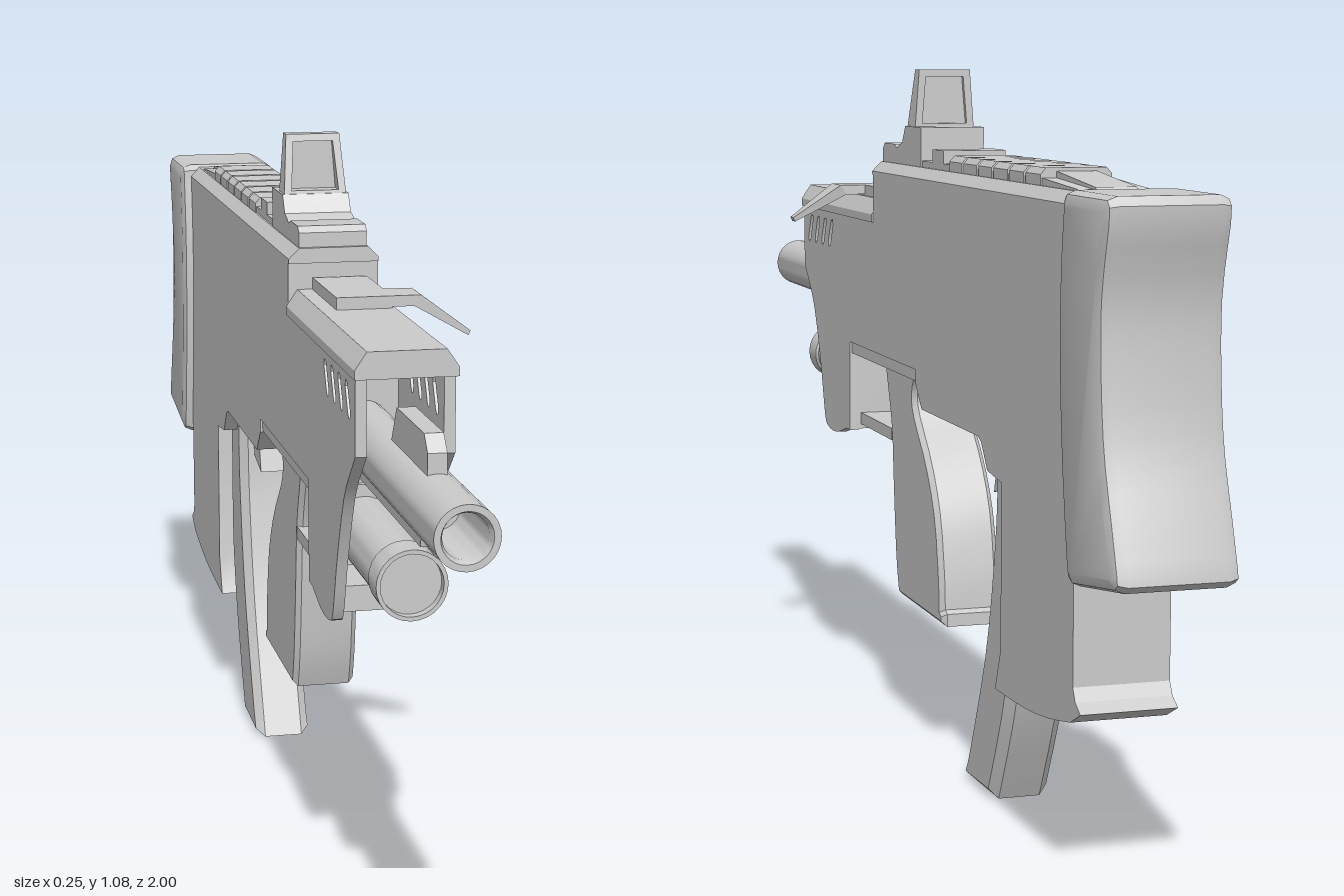
import * as THREE from 'three';
import { toCreasedNormals } from 'three/addons/utils/BufferGeometryUtils.js';

const CX = -0.043; // centre plane of the model
const mat = new THREE.MeshStandardMaterial({ color: 0xcccccc, side: THREE.DoubleSide });

export function createModel() {
  const group = new THREE.Group();

  const add = (name, geo, x = CX, y = 0, z = 0) => {
    const mesh = new THREE.Mesh(geo, mat);
    mesh.name = name;
    mesh.position.set(x, y, z);
    group.add(mesh);
    return mesh;
  };
  const toShape = (pts) => new THREE.Shape(pts.map(([a, b]) => new THREE.Vector2(a, b)));

  // Side profile in (z, y), given full width along x, optional chamfered rim
  const side = (name, pts, width, { bevel = 0, holes = [], x = CX, segs = 1 } = {}) => {
    const shape = toShape(pts);
    shape.holes = holes.map(toShape);
    const depth = width - 2 * bevel;
    const geo = new THREE.ExtrudeGeometry(shape, {
      depth, bevelEnabled: bevel > 0, bevelSize: bevel, bevelThickness: bevel,
      bevelOffset: -bevel, bevelSegments: segs, curveSegments: 8,
    });
    geo.translate(0, 0, -depth / 2);
    geo.rotateY(-Math.PI / 2);
    return add(name, toCreasedNormals(geo, 0.5), x);
  };
  // Front profile in (x, y) running from z0 to z1
  const along = (name, pts, z0, z1, x = CX) =>
    add(name, new THREE.ExtrudeGeometry(toShape(pts), { depth: z1 - z0, bevelEnabled: false }), x, 0, z0);
  const box = (name, w, y0, y1, z0, z1, x = CX) =>
    add(name, new THREE.BoxGeometry(w, y1 - y0, z1 - z0), x, (y0 + y1) / 2, (z0 + z1) / 2);
  // Turned part along z from (radius, z) points
  const turned = (name, pts, y) => {
    const geo = new THREE.LatheGeometry(pts.map(([r, z]) => new THREE.Vector2(r, z)), 28);
    geo.rotateX(Math.PI / 2);
    return add(name, toCreasedNormals(geo, 0.5), CX, y);
  };
  // Smooth run of points through a few guides
  const smooth = (pts, n = 12) =>
    new THREE.SplineCurve(pts.map(([a, b]) => new THREE.Vector2(a, b))).getPoints(n).map((p) => [p.x, p.y]);

  // Receiver with the rear lower housing
  side('receiver', [
    [0.4, 0.84], [0.19, 0.84], [0.19, 0.915], [-0.8, 0.915], [-0.8, 0.28], [-0.81, 0.262], [-0.83, 0.25],
    ...smooth([[-0.79, 0.23], [-0.7, 0.213], [-0.6, 0.202], [-0.47, 0.198]], 6),
    [-0.495, 0.26], [-0.495, 0.505], [-0.43, 0.512], [-0.4, 0.55], [-0.385, 0.556],
    [-0.094, 0.556], [-0.06, 0.593], [-0.06, 0.615], [0.4, 0.615],
  ], 0.138);

  // Hollow handguard: a slotted plate on each side
  const slots = [0, 1, 2, 3].map((i) => {
    const z = 0.622 - i * 0.048;
    return [[z + 0.012, 0.772], [z + 0.012, 0.783], [z - 0.006, 0.817], [z - 0.016, 0.82],
      [z - 0.019, 0.81], [z - 0.001, 0.775], [z + 0.006, 0.769]];
  });
  for (const s of [-1, 1]) {
    side(s > 0 ? 'leftHandguardPlate' : 'rightHandguardPlate', [
      [0.4, 0.84], [0.668, 0.84], [0.668, 0.725],
      ...smooth([[0.62, 0.68], [0.59, 0.64], [0.55, 0.55], [0.522, 0.465], [0.5, 0.446], [0.44, 0.443], [0.37, 0.46]], 14),
      [0.345, 0.46], [0.345, 0.615], [0.4, 0.615],
    ], 0.016, { holes: slots, x: CX + s * 0.061 });
  }
  box('handguardFloor', 0.108, 0.462, 0.5, 0.345, 0.515);
  box('handguardBulkhead', 0.108, 0.48, 0.62, 0.345, 0.41);

  // Chamfered top covers
  const cover = (w, n, y0, y1, y2) => [[-w, y0], [w, y0], [w, y1], [n, y2], [-n, y2], [-w, y1]];
  along('handguardCover', cover(0.072, 0.055, 0.832, 0.845, 0.87), 0.19, 0.676);
  along('receiverCover', cover(0.069, 0.053, 0.91, 0.917, 0.933), -0.8, 0.195);
  box('coverPlate', 0.083, 0.865, 0.888, 0.195, 0.37, -0.034);

  // Charging handle swept out to the left
  const handle = [[-0.075, 0.872], [-0.075, 0.888], [0.05, 0.888], [0.125, 0.832], [0.122, 0.825], [0.04, 0.872]];
  const handleGeo = new THREE.ExtrudeGeometry(toShape(handle), { depth: 0.06, bevelEnabled: false });
  const p = handleGeo.attributes.position;
  for (let i = 0; i < p.count; i++) {
    // narrow towards the tip
    if (p.getX(i) > 0.1) p.setZ(i, 0.035 + p.getZ(i) * 0.35);
  }
  handleGeo.computeVertexNormals();
  add('chargingHandle', handleGeo, 0, 0, 0.31);

  // Top rail: narrow spine with wide crosspieces and a rear ramp
  side('railSpine', [[-0.06, 0.93], [-0.06, 0.945], [-0.185, 0.945], [-0.61, 0.952], [-0.76, 0.938], [-0.77, 0.93]], 0.058);
  side('railBase', [[-0.035, 0.93], [-0.035, 0.943], [-0.61, 0.943], [-0.75, 0.935], [-0.76, 0.93]], 0.1);
  for (let i = 0; i < 6; i++) {
    const z = -0.187 - i * 0.0715;
    along('railCrosspiece', cover(0.052, 0.044, 0.93, 0.948, 0.957), z - 0.063, z);
  }
  box('railStop', 0.1, 0.93, 0.963, -0.148, -0.09);

  // Sight: stepped base and a tapered framed post
  side('sightBase', [
    [0.188, 0.93], [0.188, 0.955], [0.178, 0.964], [0.12, 0.964], [0.105, 0.958], [0.09, 0.964], [0.074, 0.968],
    [0.056, 0.995], [-0.033, 0.995], [-0.033, 0.93],
  ], 0.104);
  const postRing = new THREE.Shape([[-0.049, 0.99], [0.049, 0.99], [0.042, 1.085], [-0.042, 1.085]]
    .map(([a, b]) => new THREE.Vector2(a, b)));
  postRing.holes = [toShape([[-0.037, 1], [0.037, 1], [0.031, 1.074], [-0.031, 1.074]])];
  const postGeo = new THREE.ExtrudeGeometry(postRing, { depth: 1, bevelEnabled: false });
  const q = postGeo.attributes.position;
  for (let i = 0; i < q.count; i++) {
    const t = (q.getY(i) - 0.99) / 0.095;
    q.setZ(i, q.getZ(i) < 0.5 ? 0.01 : 0.055 - 0.022 * t);
  }
  postGeo.computeVertexNormals();
  add('sightFrame', postGeo);
  along('sightPane', [[-0.039, 0.995], [0.039, 0.995], [0.033, 1.078], [-0.033, 1.078]], 0.018, 0.026);

  // Barrel with open muzzle, plus ribs above and below
  turned('barrel', [[0, 0.85], [0.03, 0.85], [0.03, 0.99], [0.034, 1], [0.043, 1], [0.043, 0.35], [0, 0.35]], 0.7);
  side('barrelUpperRib', [[0.845, 0.74], [0.845, 0.77], [0.825, 0.792], [0.67, 0.792], [0.64, 0.74]], 0.026);
  side('barrelLowerRib', [[0.815, 0.66], [0.81, 0.637], [0.42, 0.637], [0.42, 0.66]], 0.026);

  // Lower tube under the barrel
  turned('lowerTube', [[0, 0.7], [0.044, 0.7], [0.044, 0.714], [0.05, 0.714], [0.05, 0.665], [0.046, 0.66], [0.046, 0.4], [0, 0.4]], 0.556);

  // Front grip and guard
  side('frontGrip', [
    [0.2, 0.61], [0.195, 0.598],
    ...smooth([[0.18, 0.56], [0.155, 0.49], [0.145, 0.4], [0.13, 0.28], [0.112, 0.215]], 12),
    [-0.143, 0.215], [-0.143, 0.235], [-0.132, 0.24],
    ...smooth([[-0.13, 0.28], [-0.108, 0.38], [-0.06, 0.46], [0.01, 0.53], [0.023, 0.56], [0.01, 0.585], [-0.02, 0.592]], 16),
    [-0.06, 0.593], [-0.06, 0.61],
  ], 0.098, { bevel: 0.008 });
  box('gripMount', 0.13, 0.595, 0.618, -0.06, 0.37);
  box('guardBar', 0.098, 0.47, 0.49, 0.15, 0.36);
  side('frontTrigger', [[0.25, 0.61], [0.25, 0.57], [0.26, 0.5], [0.2, 0.505], [0.18, 0.56], [0.18, 0.61]], 0.035);
  side('rearTrigger', [[-0.31, 0.56], [-0.335, 0.51], [-0.32, 0.46], [-0.385, 0.475], [-0.4, 0.56]], 0.045);

  // Curved magazine
  side('magazine', [
    [-0.395, 0.56], ...smooth([[-0.395, 0.5], [-0.385, 0.4], [-0.34, 0.22], [-0.24, 0.003]], 12),
    [-0.378, 0.003], ...smooth([[-0.378, 0.003], [-0.45, 0.15], [-0.49, 0.28], [-0.497, 0.38]], 10).slice(1),
    [-0.497, 0.56],
  ], 0.092, { bevel: 0.014 });

  // Shoulder pad with curved faces
  side('shoulderPad', [
    [-0.783, 0.928], [-0.795, 0.937], [-0.945, 0.937], [-0.957, 0.925],
    ...smooth([[-0.955, 0.9], [-0.932, 0.81], [-0.932, 0.72], [-0.945, 0.62], [-0.975, 0.53], [-0.995, 0.47]], 14),
    [-0.998, 0.455], [-0.985, 0.445], [-0.825, 0.422], [-0.81, 0.43],
    ...smooth([[-0.802, 0.46], [-0.78, 0.6], [-0.77, 0.74], [-0.773, 0.84], [-0.782, 0.915]], 10),
  ], 0.173, { bevel: 0.018, segs: 2 });

  return group;
}
